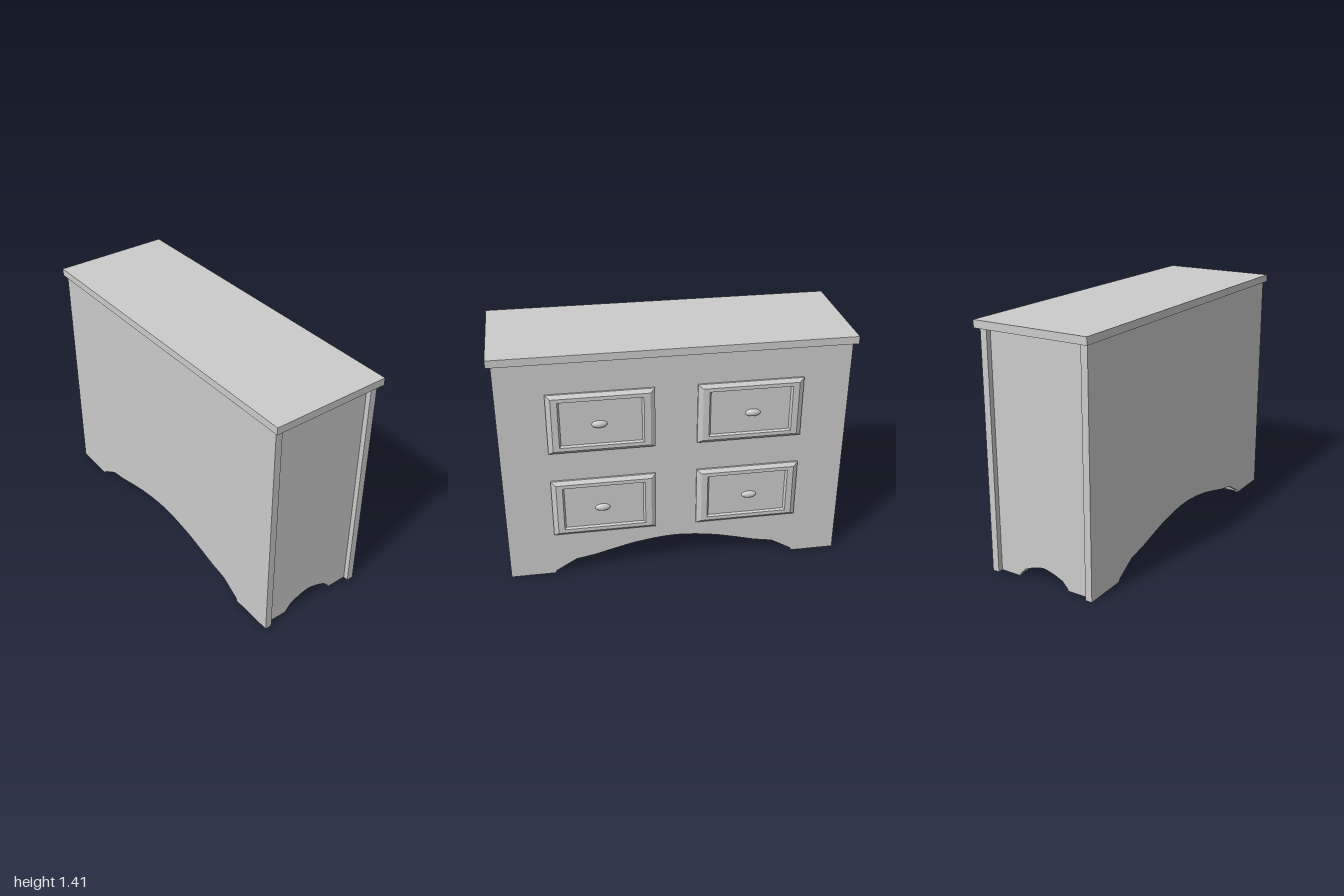
import * as THREE from 'three';

const mat = new THREE.MeshStandardMaterial({ color: 0xcccccc, flatShading: true });
const smooth = new THREE.MeshStandardMaterial({ color: 0xcccccc });

// Main body limits (drawers face +x)
const X0 = -0.34, X1 = 0.32, XC = -0.007, ZB = 0.945, H = 1.365, SKIN = 0.02;

// Half profiles of the foot arches: [distance from centre, height]
const longArch = [[0, 0.196], [0.06, 0.194], [0.13, 0.187], [0.25, 0.168], [0.37, 0.138], [0.48, 0.108], [0.59, 0.088], [0.711, 0.016], [0.716, 0]];
const endArch = [[0, 0.088], [0.04, 0.081], [0.08, 0.068], [0.125, 0.048], [0.158, 0.012], [0.162, 0]];

function archHeight(arch, d) {
  d = Math.abs(d);
  for (let i = 1; i < arch.length; i++) {
    const [a, ya] = arch[i - 1], [b, yb] = arch[i];
    if (d <= b) return ya + (yb - ya) * (d - a) / (b - a);
  }
  return 0;
}

// Upright panel with an arch cut from its lower edge
function archPanel(from, to, centre, arch) {
  const s = new THREE.Shape();
  s.moveTo(from, H);
  s.lineTo(from, 0);
  for (let i = arch.length - 1; i >= 0; i--) s.lineTo(centre - arch[i][0], arch[i][1]);
  for (let i = 1; i < arch.length; i++) s.lineTo(centre + arch[i][0], arch[i][1]);
  s.lineTo(to, 0);
  s.lineTo(to, H);
  return new THREE.ExtrudeGeometry(s, { depth: SKIN, bevelEnabled: false });
}

function boxBetween(x0, x1, y0, y1, z0, z1) {
  return new THREE.BoxGeometry(x1 - x0, y1 - y0, z1 - z0)
    .translate((x0 + x1) / 2, (y0 + y1) / 2, (z0 + z1) / 2);
}

// Solid core whose underside follows both crossing arches
function coreGeometry() {
  const x0 = X0 + SKIN, x1 = X1 - SKIN, z = ZB - SKIN;
  const g = new THREE.BoxGeometry(x1 - x0, H, 2 * z, 40, 1, 120);
  g.translate((x0 + x1) / 2, H / 2, 0);
  const p = g.attributes.position;
  for (let i = 0; i < p.count; i++) {
    if (p.getY(i) > 0.01) continue;
    const a = archHeight(longArch, p.getZ(i));
    const lift = a > 0 ? a + 0.02 : 0;
    p.setY(i, Math.max(lift, archHeight(endArch, p.getX(i) - XC)));
  }
  g.computeVertexNormals();
  return g;
}

// Drawer front: rectangular loops [z inset, y inset, x], closed by the recessed floor
function drawerGeometry(w, h) {
  const loops = [[0, 0, 0], [0, 0, 0.011], [0.027, 0.02, 0.028], [0.062, 0.042, 0.028], [0.072, 0.049, 0.014]];
  const pos = [], idx = [];
  for (const [iz, iy, x] of loops) {
    const a = w / 2 - iz, b = h / 2 - iy;
    // counter-clockwise as seen from +x
    pos.push(x, -b, a, x, -b, -a, x, b, -a, x, b, a);
  }
  for (let l = 0; l < loops.length - 1; l++) {
    for (let k = 0; k < 4; k++) {
      const a = l * 4 + k, b = l * 4 + (k + 1) % 4;
      idx.push(a, b, b + 4, a, b + 4, a + 4);
    }
  }
  const e = (loops.length - 1) * 4;
  idx.push(e, e + 1, e + 2, e, e + 2, e + 3);
  const g = new THREE.BufferGeometry();
  g.setAttribute('position', new THREE.Float32BufferAttribute(pos, 3));
  g.setIndex(idx);
  const flat = g.toNonIndexed();
  flat.computeVertexNormals();
  return flat;
}

export function createModel() {
  const group = new THREE.Group();
  const add = (name, geometry, material = mat, parent = group) => {
    const m = new THREE.Mesh(geometry, material);
    m.name = name;
    parent.add(m);
    return m;
  };

  // Cabinet
  add('top', boxBetween(-0.355, 0.342, H, 1.408, -1, 1));
  add('core', coreGeometry());
  const facePanel = archPanel(-ZB, ZB, 0, longArch).rotateY(Math.PI / 2);
  add('drawerFacePanel', facePanel).position.x = X1 - SKIN;
  add('backPanel', facePanel).position.x = X0;
  const endPanel = archPanel(X0 + SKIN, X1 - SKIN, XC, endArch);
  add('leftEndPanel', endPanel).position.z = ZB - SKIN;
  add('rightEndPanel', endPanel).position.z = -ZB;

  // Corner posts standing proud of the end panels
  for (const x of [X0, X1 - 0.04]) {
    for (const z of [-0.975, ZB]) add('cornerPost', boxBetween(x, x + 0.04, 0, H, z, z + 0.03));
  }

  // Drawers with oval knobs
  const front = drawerGeometry(0.592, 0.36);
  const knob = new THREE.SphereGeometry(1, 24, 16).scale(0.018, 0.022, 0.043);
  for (const y of [0.46, 1.0]) {
    for (const z of [-0.414, 0.414]) {
      const drawer = new THREE.Group();
      drawer.name = 'drawer';
      drawer.position.set(X1, y, z);
      add('drawerFront', front, mat, drawer);
      add('knob', knob, smooth, drawer).position.set(0.015, -0.012, z > 0 ? 0.01 : -0.014);
      group.add(drawer);
    }
  }
  return group;
}
